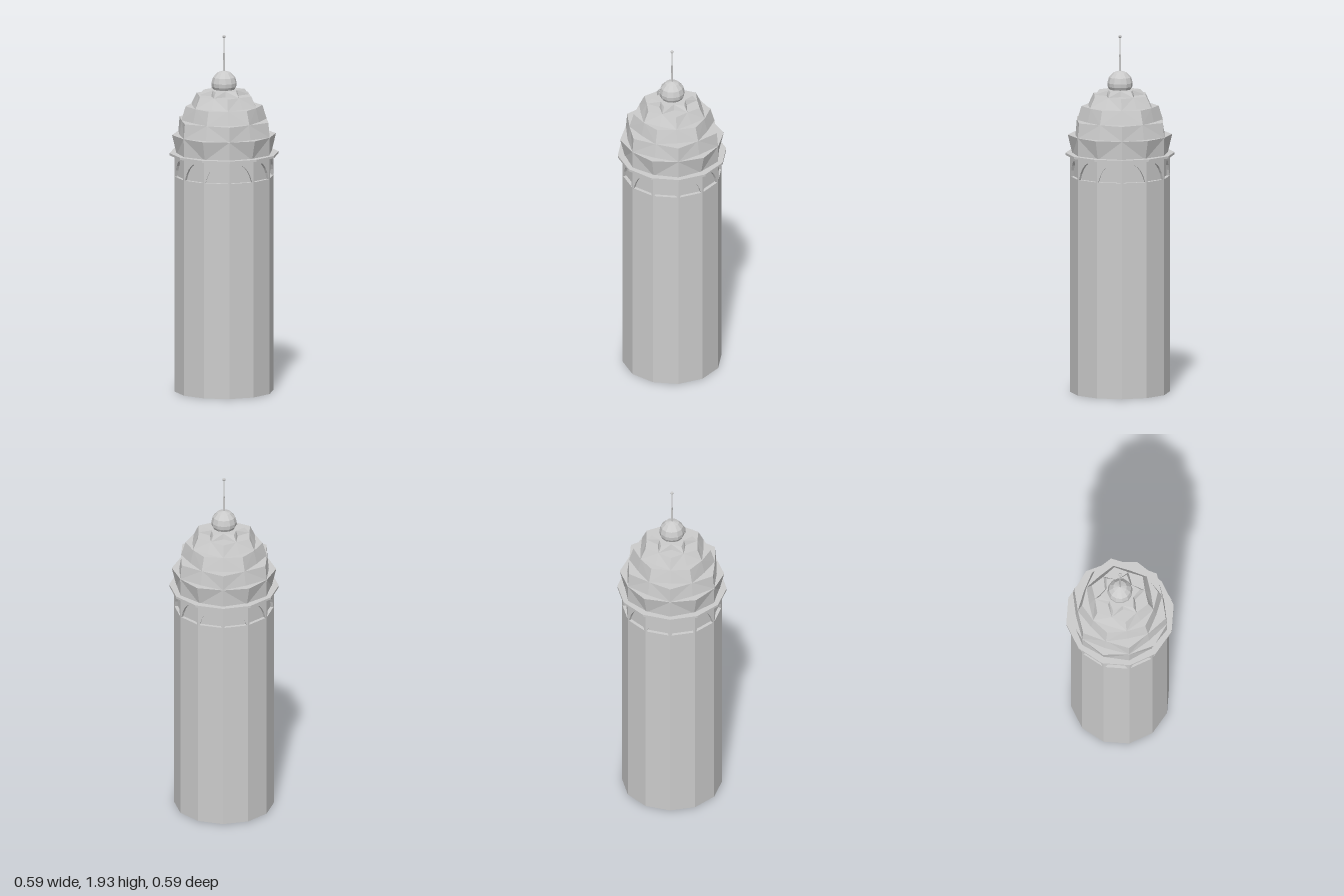
import * as THREE from 'three';

const SIDES = 12;
const STEP = (Math.PI * 2) / SIDES;
const material = new THREE.MeshStandardMaterial({ color: 0xcccccc, flatShading: true, side: THREE.DoubleSide });

function part(name, geometry, y = 0) {
  const mesh = new THREE.Mesh(geometry, material);
  mesh.name = name;
  mesh.position.y = y;
  return mesh;
}

// Faceted dome: six-pointed tiers, each turned by 30 degrees, with small ledges between.
// Each ring is [height, radius at even corners, radius at odd corners].
function domeGeometry() {
  const rings = [
    [1.29, 0.255, 0.265], [1.395, 0.28, 0.268],
    [1.395, 0.24, 0.267], [1.475, 0.226, 0.26],
    [1.475, 0.23, 0.205], [1.55, 0.207, 0.186],
    [1.55, 0.168, 0.19], [1.61, 0.136, 0.16],
    [1.61, 0.135, 0.085], [1.64, 0.11, 0.075],
    [1.64, 0.05, 0.05],
  ];
  const corner = (ring, k) => {
    const r = ring[1 + (k % 2)];
    return [r * Math.cos(k * STEP), ring[0], r * Math.sin(k * STEP)];
  };
  const positions = [];
  for (let i = 0; i < rings.length - 1; i++) {
    const tip = Math.floor(i / 2) % 2;
    for (let k = 0; k < SIDES; k++) {
      const a = corner(rings[i], k);
      const b = corner(rings[i], k + 1);
      const c = corner(rings[i + 1], k + 1);
      const d = corner(rings[i + 1], k);
      // Fold every facet along the line from the tip's foot to the valley's top
      if (k % 2 === tip) positions.push(...a, ...d, ...c, ...a, ...c, ...b);
      else positions.push(...a, ...d, ...b, ...b, ...d, ...c);
    }
  }
  const geometry = new THREE.BufferGeometry();
  geometry.setAttribute('position', new THREE.Float32BufferAttribute(positions, 3));
  geometry.computeVertexNormals();
  return geometry;
}

// Wall panel with a pointed arch cut up from its lower edge
function archGeometry(width, height, depth) {
  const w = width / 2;
  const foot = w - 0.008;
  const shape = new THREE.Shape();
  shape.moveTo(-w, 0);
  shape.lineTo(-foot, 0);
  shape.quadraticCurveTo(-foot * 0.7, height * 0.62, 0, height * 0.8);
  shape.quadraticCurveTo(foot * 0.7, height * 0.62, foot, 0);
  shape.lineTo(w, 0);
  shape.lineTo(w, height);
  shape.lineTo(-w, height);
  shape.closePath();
  return new THREE.ExtrudeGeometry(shape, { depth, bevelEnabled: false, curveSegments: 4 });
}

export function createModel() {
  const model = new THREE.Group();
  model.name = 'tower';
  const radius = 0.267;
  const shaftTop = 1.17;
  const bandHeight = 0.12;

  // Hollow shaft and the ledge on top of it
  model.add(part('shaft', new THREE.CylinderGeometry(radius, radius, shaftTop, SIDES, 1, true), shaftTop / 2));
  const ledge = new THREE.RingGeometry(0.245, radius, SIDES);
  ledge.rotateX(-Math.PI / 2);
  model.add(part('shaftLedge', ledge, shaftTop));

  // Arcade: recessed wall behind twelve pointed arches
  model.add(part('recessedWall',
    new THREE.CylinderGeometry(0.248, 0.248, bandHeight, SIDES, 1, true), shaftTop + bandHeight / 2));
  const arcade = new THREE.Group();
  arcade.name = 'arcade';
  const depth = 0.015;
  const arch = archGeometry(2 * radius * Math.sin(STEP / 2), bandHeight, depth);
  arch.translate(0, 0, radius * Math.cos(STEP / 2) - depth);
  for (let k = 0; k < SIDES; k++) {
    const panel = part('arch', arch, shaftTop);
    panel.rotation.y = (k + 0.5) * STEP;
    arcade.add(panel);
  }
  model.add(arcade);

  // Thin projecting cornice
  model.add(part('cornice', new THREE.CylinderGeometry(0.293, 0.293, 0.012, SIDES), 1.291));

  model.add(part('dome', domeGeometry()));

  // Bulb, spire and ball
  const bulbProfile = [[0.055, 1.635], [0.066, 1.655], [0.068, 1.675], [0.06, 1.705], [0.037, 1.73], [0, 1.742]]
    .map(([x, y]) => new THREE.Vector2(x, y));
  model.add(part('bulb', new THREE.LatheGeometry(bulbProfile, SIDES)));
  model.add(part('spire', new THREE.CylinderGeometry(0.003, 0.006, 0.19, 6), 1.83));
  model.add(part('spireBall', new THREE.SphereGeometry(0.009, 6, 5), 1.926));

  return model;
}
